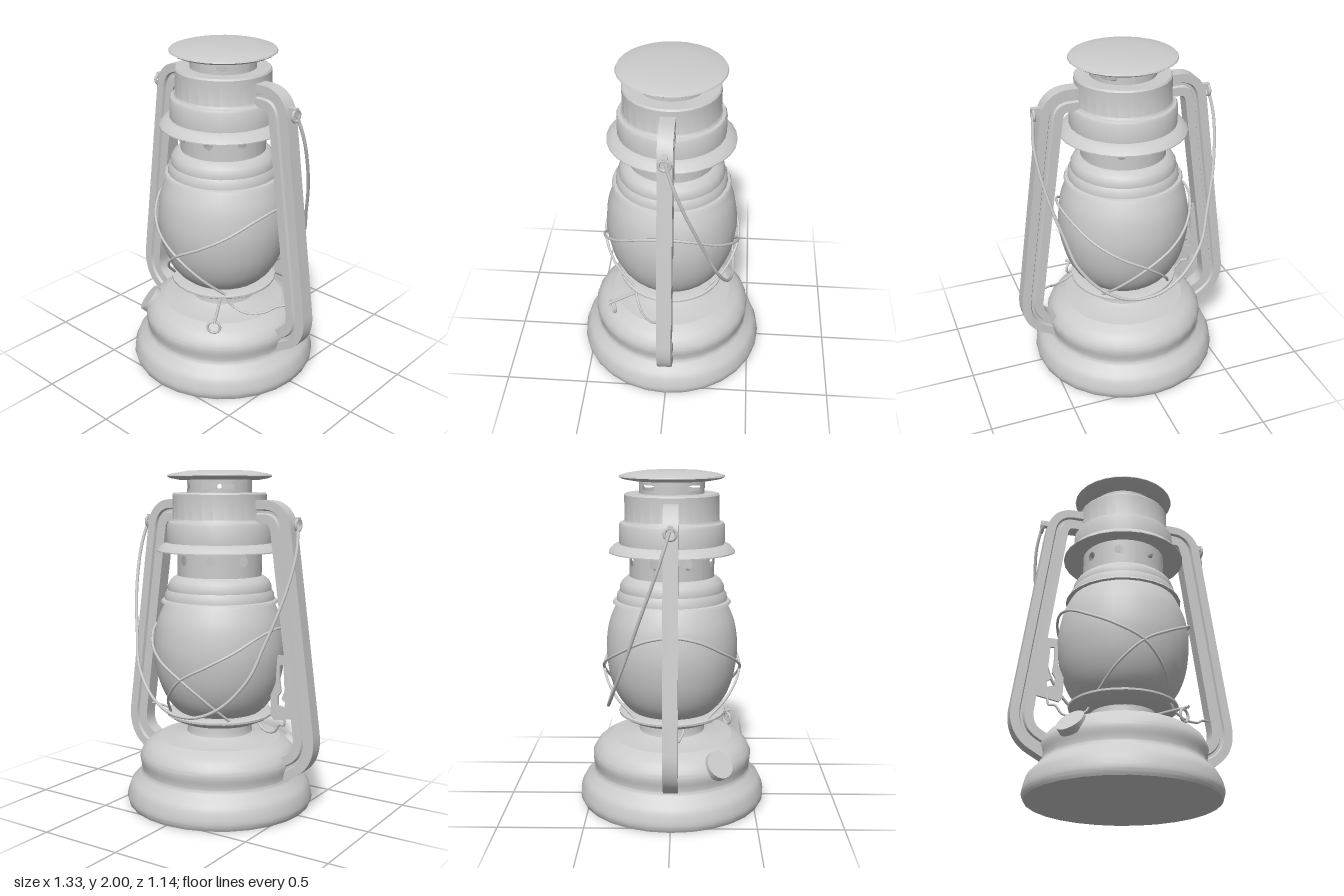
import * as THREE from 'three';
import { toCreasedNormals } from 'three/addons/utils/BufferGeometryUtils.js';

const material = new THREE.MeshStandardMaterial({ color: 0xcccccc, side: THREE.DoubleSide });
const V3 = (p) => new THREE.Vector3(...p);

function add(parent, name, geometry) {
  const mesh = new THREE.Mesh(geometry, material);
  mesh.name = name;
  parent.add(mesh);
  return mesh;
}

// Turned sheet-metal part from [radius, y] points, optionally smoothed
function turned(parent, name, points, smooth = 0) {
  let profile = points.map(([r, y]) => new THREE.Vector2(r, y));
  if (smooth) profile = new THREE.SplineCurve(profile).getPoints(smooth);
  return add(parent, name, toCreasedNormals(new THREE.LatheGeometry(profile, 28), 0.6));
}

function wire(parent, name, points, radius = 0.009) {
  const curve = new THREE.CatmullRomCurve3(points.map(V3));
  return add(parent, name, new THREE.TubeGeometry(curve, points.length * 8, radius, 8));
}

// Cylindrical band of equal panels, each pierced by one round or slotted hole
function piercedBand(parent, name, r, y0, y1, count, holeY, holeW, holeH, squareness) {
  const band = new THREE.Group();
  band.name = name;
  const half = Math.PI / count;
  const power = (v) => Math.sign(v) * Math.pow(Math.abs(v), squareness);
  for (let i = 0; i < count; i++) {
    const g = new THREE.RingGeometry(1, 2, 48, 3);
    const pos = g.attributes.position;
    for (let k = 0; k < pos.count; k++) {
      const x = pos.getX(k), y = pos.getY(k);
      const len = Math.hypot(x, y), t = len - 1, c = x / len, s = y / len;
      const m = 1 / Math.max(Math.abs(c), Math.abs(s));
      const edgeY = s > 0 ? (y1 - holeY) * s * m : (holeY - y0) * s * m;
      const u = THREE.MathUtils.lerp((power(c) * holeW) / r, half * c * m, t);
      const v = THREE.MathUtils.lerp(power(s) * holeH, edgeY, t);
      const a = half * (2 * i + 1) + u;
      pos.setXYZ(k, r * Math.sin(a), holeY + v, r * Math.cos(a));
    }
    g.computeVertexNormals();
    add(band, name + 'Panel', g);
  }
  parent.add(band);
}

// Flat grooved side tube swept along a path in the xy plane
function sideTubeGeometry() {
  const path = new THREE.Path();
  path.moveTo(0.22, 1.765);
  path.lineTo(0.33, 1.765);
  path.quadraticCurveTo(0.425, 1.765, 0.437, 1.65);
  path.lineTo(0.597, 0.5);
  path.quadraticCurveTo(0.617, 0.36, 0.51, 0.302);
  path.lineTo(0.42, 0.25);
  const pts = path.getPoints(10);
  const w = 0.066, d = 0.042, gw = 0.014, gd = 0.026;
  const section = [[-w, -d], [-gw, -d], [-gw / 2, -gd], [gw / 2, -gd], [gw, -d], [w, -d],
    [w, d], [gw, d], [gw / 2, gd], [-gw / 2, gd], [-gw, d], [-w, d]];
  const n = section.length, verts = [], index = [];
  pts.forEach((p, i) => {
    const t = pts[Math.min(i + 1, pts.length - 1)].clone().sub(pts[Math.max(i - 1, 0)]).normalize();
    for (const [u, v] of section) verts.push(p.x + t.y * u, p.y - t.x * u, v);
    if (i === 0) return;
    for (let j = 0; j < n; j++) {
      const k = (j + 1) % n, a = (i - 1) * n, b = i * n;
      index.push(a + j, b + j, b + k, a + j, b + k, a + k);
    }
  });
  const g = new THREE.BufferGeometry();
  g.setAttribute('position', new THREE.Float32BufferAttribute(verts, 3));
  g.setIndex(index);
  return toCreasedNormals(g, 0.5);
}

export function createModel() {
  const model = new THREE.Group();
  model.name = 'lantern';

  // Fuel tank and burner
  turned(model, 'tankBottom', [[0, 0], [0.555, 0]].reverse());
  turned(model, 'fuelTank', [[0.555, 0], [0.567, 0.03], [0.564, 0.07], [0.545, 0.125], [0.505, 0.17],
    [0.48, 0.2], [0.478, 0.23], [0.486, 0.28], [0.478, 0.32], [0.44, 0.37], [0.37, 0.41]], 40);
  turned(model, 'tankTop', [[0.37, 0.41], [0.23, 0.425], [0.2, 0.44], [0.195, 0.46], [0.195, 0.52]]);
  turned(model, 'burnerPlate', [[0.19, 0.51], [0.25, 0.512], [0.3, 0.535], [0.322, 0.55], [0.322, 0.562],
    [0.3, 0.57], [0.22, 0.57]]);

  // Glass globe and its collar
  turned(model, 'globe', [[0.235, 0.56], [0.29, 0.61], [0.335, 0.68], [0.372, 0.78], [0.392, 0.9],
    [0.392, 1.0], [0.375, 1.11], [0.345, 1.19], [0.32, 1.24]], 24);
  turned(model, 'globeCollar', [[0.32, 1.235], [0.352, 1.232], [0.345, 1.245], [0.328, 1.25], [0.325, 1.285],
    [0.31, 1.305], [0.31, 1.33], [0.295, 1.36], [0.265, 1.385], [0.25, 1.39]]);

  // Vented chimney and cap
  piercedBand(model, 'ventBand', 0.25, 1.385, 1.56, 8, 1.485, 0.028, 0.03, 1);
  turned(model, 'hood', [[0.25, 1.55], [0.3, 1.54], [0.372, 1.532], [0.372, 1.538], [0.342, 1.572],
    [0.31, 1.582], [0.31, 1.69], [0.302, 1.704], [0.285, 1.708], [0.277, 1.72], [0.277, 1.862],
    [0.27, 1.872], [0.19, 1.872]]);
  piercedBand(model, 'chimneyNeck', 0.19, 1.87, 1.955, 4, 1.908, 0.05, 0.015, 0.5);
  turned(model, 'cap', [[0, 1.945], [0.235, 1.945], [0.29, 1.955], [0.308, 1.966], [0.304, 1.974],
    [0.27, 1.984], [0.18, 1.998], [0, 2]]);

  // Side tubes with the ears that carry the bail
  const tubeGeometry = sideTubeGeometry();
  for (const side of [1, -1]) {
    const frame = new THREE.Group();
    frame.name = side > 0 ? 'leftFrame' : 'rightFrame';
    add(frame, 'sideTube', tubeGeometry);
    add(frame, 'bailEar', new THREE.BoxGeometry(0.055, 0.035, 0.03)).position.set(0.505, 1.72, 0);
    const ring = add(frame, 'bailEye', new THREE.TorusGeometry(0.031, 0.009, 8, 20));
    ring.position.set(0.525, 1.695, 0);
    ring.rotation.y = Math.PI / 2;
    frame.rotation.y = side > 0 ? 0 : Math.PI;
    model.add(frame);
  }

  // Bail handle hanging behind the globe
  const half = [[0.522, 1.72, 0.0], [0.545, 1.56, -0.05], [0.535, 1.4, -0.105], [0.5, 1.22, -0.17],
    [0.445, 1.03, -0.235], [0.385, 0.85, -0.3], [0.25, 0.69, -0.355], [0.11, 0.615, -0.38]];
  const mirrored = half.map(([x, y, z]) => [-x, y, z]).reverse();
  wire(model, 'bailHandle', [...half, [0, 0.6, -0.385], ...mirrored], 0.0095);

  // Crossing globe guards: [angle from the side, y, radius]
  const guard = [[135, 0.565, 0.3], [112, 0.69, 0.365], [90, 0.82, 0.408], [67, 0.91, 0.412],
    [45, 0.99, 0.407], [22, 1.07, 0.4], [0, 1.1, 0.398]];
  const loop = [...guard, ...guard.slice(0, -1).reverse().map(([a, y, r]) => [-a, y, r])];
  for (const side of [1, -1]) {
    wire(model, 'globeGuard', loop.map(([a, y, r]) => {
      const t = THREE.MathUtils.degToRad(a);
      return [side * r * Math.cos(t), y, r * Math.sin(t)];
    }), 0.008);
  }

  // Filler cap on the tank shoulder
  const filler = new THREE.Group();
  filler.name = 'fillerCap';
  add(filler, 'fillerLid', new THREE.CylinderGeometry(0.085, 0.085, 0.045, 20));
  add(filler, 'fillerNeck', new THREE.CylinderGeometry(0.065, 0.065, 0.1, 20)).position.y = -0.06;
  filler.position.set(-0.37, 0.335, 0.275);
  filler.quaternion.setFromUnitVectors(V3([0, 1, 0]), V3([-0.6, 0.6, 0.5]).normalize());
  model.add(filler);

  // Wick adjuster with finger loop
  wire(model, 'wickShaft', [[0.11, 0.467, 0.15], [0.19, 0.467, 0.26], [0.265, 0.465, 0.37]], 0.009);
  const wickLoop = add(model, 'wickLoop', new THREE.TorusGeometry(0.037, 0.008, 8, 20));
  wickLoop.position.set(0.243, 0.418, 0.35);
  wickLoop.rotation.y = 0.62;

  // Lift lever: slotted plate beside the right tube
  const plate = new THREE.Shape([[-0.47, 0.945], [-0.405, 0.945], [-0.395, 0.78], [-0.36, 0.7], [-0.365, 0.58],
    [-0.385, 0.555], [-0.52, 0.58]].map((p) => new THREE.Vector2(...p)));
  plate.holes.push(new THREE.Path([[-0.445, 0.89], [-0.42, 0.89], [-0.42, 0.8], [-0.43, 0.73], [-0.41, 0.7],
    [-0.41, 0.65], [-0.455, 0.64], [-0.46, 0.67], [-0.435, 0.69], [-0.455, 0.74]].map((p) => new THREE.Vector2(...p))));
  add(model, 'liftLever', new THREE.ExtrudeGeometry(plate, { depth: 0.014, bevelEnabled: false })).position.z = -0.007;

  // Hinge wires between burner and side tubes
  wire(model, 'leverWire', [[-0.45, 0.6, 0], [-0.445, 0.53, 0.01], [-0.41, 0.525, 0.02], [-0.37, 0.475, 0.03],
    [-0.3, 0.462, 0.05], [-0.24, 0.49, 0.07], [-0.22, 0.53, 0.08]], 0.007);
  wire(model, 'hingeWire', [[0.21, 0.55, 0.21], [0.26, 0.49, 0.19], [0.33, 0.465, 0.16], [0.42, 0.48, 0.1],
    [0.47, 0.515, 0.05], [0.54, 0.535, 0]], 0.007);

  return model;
}
